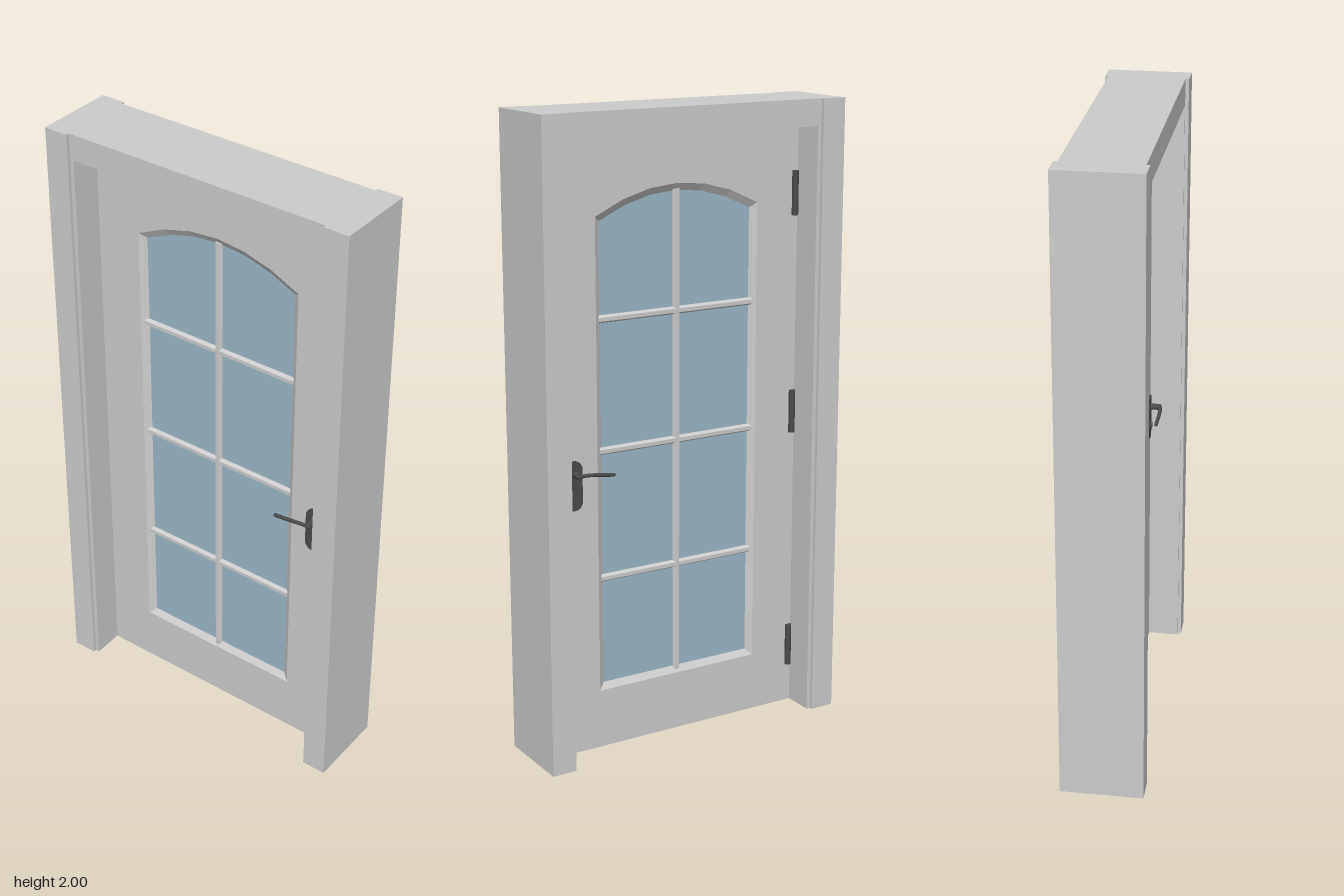
import * as THREE from 'three';

const grey = new THREE.MeshStandardMaterial({ color: 0xcccccc });
const greyThin = new THREE.MeshStandardMaterial({ color: 0xcccccc, side: THREE.DoubleSide, flatShading: true });
const metal = new THREE.MeshStandardMaterial({ color: 0x4a4a4a });
const glassBlue = new THREE.MeshStandardMaterial({ color: 0x9cb6c6 });

function add(parent, name, geometry, material = grey) {
  const mesh = new THREE.Mesh(geometry, material);
  mesh.name = name;
  parent.add(mesh);
  return mesh;
}

// Box given by its minimum and maximum corners
function box(x0, x1, y0, y1, z0, z1) {
  return new THREE.BoxGeometry(x1 - x0, y1 - y0, z1 - z0)
    .translate((x0 + x1) / 2, (y0 + y1) / 2, (z0 + z1) / 2);
}

function slab(shape, depth) {
  return new THREE.ExtrudeGeometry(shape, { depth, bevelEnabled: false, curveSegments: 12 })
    .translate(0, 0, -depth / 2);
}

const HALF = 0.018;   // half the thickness of the door leaf
const CENTRE = 0.007; // middle of the glazed opening

// Window outline with a shallow six-sided arch on top
function windowLoop(halfWidth, bottom, spring, crown) {
  const pts = [[-1, bottom], [1, bottom]].map(([s, y]) => new THREE.Vector2(CENTRE + s * halfWidth, y));
  for (let i = 0; i <= 6; i++) {
    const t = 1 - i / 3;
    pts.push(new THREE.Vector2(CENTRE + t * halfWidth, spring + (crown - spring) * (1 - t * t)));
  }
  return pts;
}

// Sloped moulding between two matching outlines
function slopedLoop(outer, inner, zOuter, zInner) {
  const pos = [];
  outer.forEach((a, i) => {
    const j = (i + 1) % outer.length, b = outer[j], c = inner[j], d = inner[i];
    pos.push(a.x, a.y, zOuter, b.x, b.y, zOuter, c.x, c.y, zInner);
    pos.push(a.x, a.y, zOuter, c.x, c.y, zInner, d.x, d.y, zInner);
  });
  const g = new THREE.BufferGeometry();
  g.setAttribute('position', new THREE.Float32BufferAttribute(pos, 3));
  g.computeVertexNormals();
  return g;
}

// Glazing bar along x with chamfered front and back
function barGeometry(length) {
  const w = 0.012, n = 0.006, d = 0.015, f = 0.005;
  const section = new THREE.Shape([[-n, -d], [n, -d], [w, -f], [w, f], [n, d], [-n, d], [-w, f], [-w, -f]]
    .map(([y, z]) => new THREE.Vector2(z, y)));
  return slab(section, length).rotateY(Math.PI / 2);
}

function handle(side) {
  const g = new THREE.Group();
  g.name = side > 0 ? 'backHandle' : 'frontHandle';
  // Rounded back plate
  const r = 0.027, x = 0.378, low = 0.823, high = 0.925;
  const plate = new THREE.Shape();
  plate.absarc(x, high, r, 0, Math.PI);
  plate.absarc(x, low, r, Math.PI, Math.PI * 2);
  add(g, 'handlePlate', slab(plate, 0.008), metal).position.z = side * (HALF + 0.004);
  // Lever neck and lock cylinder
  const round = (name, radius, length, y) =>
    add(g, name, new THREE.CylinderGeometry(radius, radius, length, 20).rotateX(Math.PI / 2), metal)
      .position.set(x, y, side * (HALF + length / 2));
  round('leverNeck', 0.01, 0.04, 0.912);
  round('lockCylinder', 0.01, 0.014, 0.845);
  // Gently curved lever
  const path = new THREE.CatmullRomCurve3([
    [0.384, 0.912, 0.057], [0.35, 0.914, 0.062], [0.305, 0.908, 0.062], [0.262, 0.902, 0.06],
  ].map(([px, y, z]) => new THREE.Vector3(px, y, side * z)));
  add(g, 'lever', new THREE.TubeGeometry(path, 20, 0.006, 10), metal);
  for (const t of [0, 1]) {
    add(g, 'leverEnd', new THREE.SphereGeometry(0.006, 10, 8), metal).position.copy(path.getPoint(t));
  }
  return g;
}

export function createModel() {
  const model = new THREE.Group();
  model.name = 'glazedDoor';

  // Frame: side casings, narrower jambs and header
  const frame = new THREE.Group();
  frame.name = 'frame';
  model.add(frame);
  for (const s of [1, -1]) {
    add(frame, 'sideCasing', box(-0.131, 0.131, 0, 2, -0.04, 0.04)).position.z = s * 0.484;
    const inner = s > 0 ? 0.438 : 0.431, wide = 0.444 - inner;
    add(frame, 'sideJamb', box(-0.12, 0.12, 0, 1.917, -wide / 2, wide / 2)).position.z = s * (inner + wide / 2);
  }
  add(frame, 'header', box(-0.12, 0.12, 1.917, 2, -0.444, 0.444));

  // Door leaf is drawn flat, then turned so its width runs along z
  const door = new THREE.Group();
  door.name = 'door';
  door.rotation.y = -Math.PI / 2;
  model.add(door);

  const outer = windowLoop(0.287, 0.19, 1.683, 1.763);
  const inner = windowLoop(0.266, 0.21, 1.667, 1.74);
  const leaf = new THREE.Shape([[-0.431, 0], [0.438, 0], [0.438, 1.915], [-0.431, 1.915]]
    .map(([x, y]) => new THREE.Vector2(x, y)));
  leaf.holes.push(new THREE.Path(outer));
  add(door, 'doorLeaf', slab(leaf, HALF * 2));
  add(door, 'glass', slab(new THREE.Shape(inner), 0.006), glassBlue);
  for (const s of [1, -1]) {
    add(door, 'windowMoulding', slopedLoop(outer, inner, s * HALF, s * 0.003), greyThin);
    door.add(handle(s));
  }

  // Glazing bars
  for (const y of [0.557, 0.964, 1.373]) {
    add(door, 'horizontalBar', barGeometry(0.55)).position.set(CENTRE, y, 0);
  }
  const upright = add(door, 'verticalBar', barGeometry(1.545));
  upright.rotation.z = Math.PI / 2;
  upright.position.set(CENTRE, 0.9725, 0);

  // Hinges
  for (const y of [0.199, 1.0, 1.703]) {
    add(door, 'hinge', new THREE.CylinderGeometry(0.0105, 0.0105, 0.14, 16), metal)
      .position.set(-0.42, y, -0.022);
  }
  return model;
}
